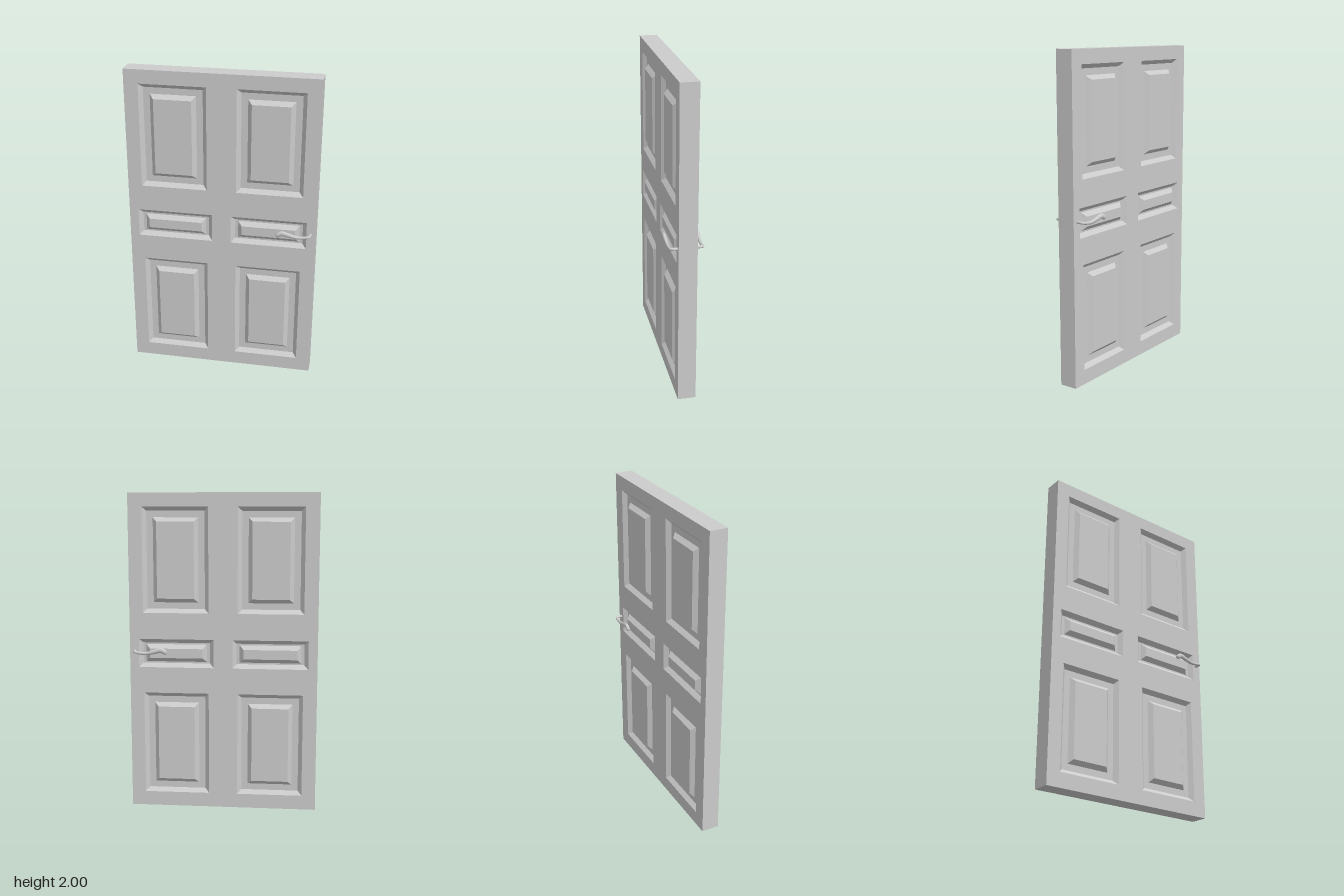
import * as THREE from 'three';
import { mergeVertices } from 'three/addons/utils/BufferGeometryUtils.js';

const W = 0.59, H = 2, T = 0.056; // half width, height, half thickness
const material = new THREE.MeshStandardMaterial({ color: 0xcccccc });
const doubleSided = new THREE.MeshStandardMaterial({ color: 0xcccccc, side: THREE.DoubleSide });

// Raised panels: centre x, centre y, width, height
const panels = [];
for (const s of [-1, 1]) {
  panels.push([s * 0.297, 1.586, 0.412, 0.656]);
  panels.push([s * 0.296, 1.002, 0.474, 0.18]);
  panels.push([s * 0.297, 0.419, 0.412, 0.656]);
}

const corners = (w, h, z) => [[-1, -1], [1, -1], [1, 1], [-1, 1]].map(([x, y]) => [x * w / 2, y * h / 2, z]);

// Flat-sided surface through concentric rectangles [w, h, z], optionally closed at the last
function loft(rects, cap) {
  const pos = [];
  const quad = (a, b, c, d) => pos.push(...a, ...b, ...c, ...a, ...c, ...d);
  const rings = rects.map((r) => corners(...r));
  for (let i = 0; i + 1 < rings.length; i++) {
    for (let k = 0; k < 4; k++) {
      const n = (k + 1) % 4;
      quad(rings[i][k], rings[i][n], rings[i + 1][n], rings[i + 1][k]);
    }
  }
  if (cap) quad(...rings[rings.length - 1]);
  const g = new THREE.BufferGeometry();
  g.setAttribute('position', new THREE.Float32BufferAttribute(pos, 3));
  g.computeVertexNormals();
  return g;
}

function named(geometry, name, mat = material) {
  const mesh = new THREE.Mesh(geometry, mat);
  mesh.name = name;
  return mesh;
}

// One face of the door: frame with openings, filled by bevelled panels
function doorFace(name) {
  const group = new THREE.Group();
  group.name = name;
  const shape = new THREE.Shape([[-W, 0], [W, 0], [W, H], [-W, H]].map((p) => new THREE.Vector2(...p)));
  for (const [x, y, w, h] of panels) {
    shape.holes.push(new THREE.Path(corners(w, h, 0).reverse().map((c) => new THREE.Vector2(c[0] + x, c[1] + y))));
    const small = h < 0.3;
    const m = small ? 0.088 : 0.13; // width lost between opening and raised field
    const deep = -0.025;
    const panel = named(loft([
      [w, h, 0],
      [w - 0.05, h - 0.05, deep],
      [w - m, h - (small ? 0.07 : m), deep],
      [w - m - 0.05, h - (small ? 0.07 : m) - 0.05, 0],
    ], true), 'raisedPanel');
    panel.position.set(x, y, T);
    group.add(panel);
  }
  const frame = named(new THREE.ShapeGeometry(shape), 'frame');
  frame.position.z = T;
  group.add(frame);
  return group;
}

// Curved lever: a tube swelling toward a rounded tip; s is the side of the door
function lever(s, name) {
  const path = new THREE.CatmullRomCurve3([
    [0.557, 1.016, 0.05], [0.557, 1.016, 0.084], [0.55, 1.014, 0.095], [0.53, 1.01, 0.097],
    [0.48, 1.007, 0.098], [0.43, 1.018, 0.1], [0.385, 1.028, 0.101], [0.348, 1.009, 0.101],
  ].map(([x, y, z]) => new THREE.Vector3(x, y, s * z)), false, 'centripetal');
  const N = 64, R = 12;
  const g = new THREE.TubeGeometry(path, N, 1, R, false);
  const p = g.attributes.position, v = new THREE.Vector3();
  for (let i = 0; i <= N; i++) {
    const u = i / N, c = path.getPointAt(u);
    const swell = THREE.MathUtils.smoothstep(u, 0.2, 0.9);
    const tip = Math.sqrt(Math.max(0, 1 - Math.pow(Math.max(0, (u - 0.94) / 0.06), 2)));
    const r = (0.0085 + 0.0035 * swell) * tip;
    for (let j = 0; j <= R; j++) {
      const k = i * (R + 1) + j;
      v.fromBufferAttribute(p, k).sub(c).multiplyScalar(r);
      v.y *= 1 + 0.35 * swell;
      v.add(c);
      p.setXYZ(k, v.x, v.y, v.z);
    }
  }
  g.deleteAttribute('uv');
  g.deleteAttribute('normal');
  const smooth = mergeVertices(g, 1e-5);
  smooth.computeVertexNormals();
  return named(smooth, name, doubleSided);
}

export function createModel() {
  const model = new THREE.Group();
  model.name = 'panelDoor';

  // Outer edges of the slab
  const edge = named(loft([[2 * W, H, -T], [2 * W, H, T]], false), 'doorEdge');
  edge.position.y = H / 2;
  model.add(edge);

  // Both faces
  const front = doorFace('frontFace');
  const back = doorFace('backFace');
  back.rotation.y = Math.PI;
  model.add(front, back);

  // Lever on each side
  model.add(lever(1, 'frontHandle'), lever(-1, 'backHandle'));
  return model;
}
